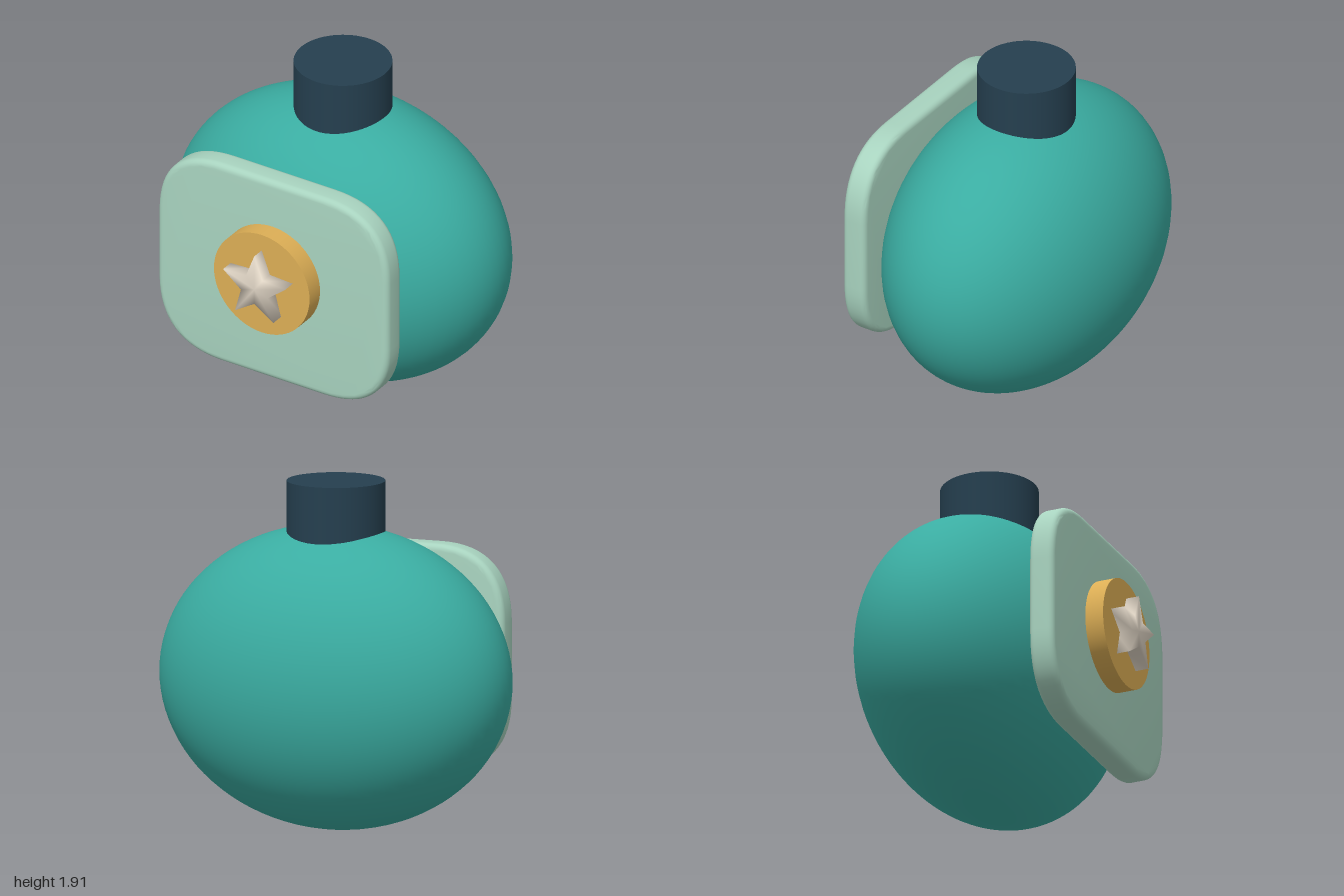
import * as THREE from 'three';
import { mergeVertices, toCreasedNormals } from 'three/addons/utils/BufferGeometryUtils.js';

function material(name, color) {
  const m = new THREE.MeshStandardMaterial({ color });
  m.name = name;
  return m;
}

// Rectangle outline with softly curved corners
function softRectangle(w, h, r) {
  const s = new THREE.Shape();
  s.moveTo(-w + r, -h);
  s.lineTo(w - r, -h);
  s.quadraticCurveTo(w, -h, w, -h + r);
  s.lineTo(w, h - r);
  s.quadraticCurveTo(w, h, w - r, h);
  s.lineTo(-w + r, h);
  s.quadraticCurveTo(-w, h, -w, h - r);
  s.lineTo(-w, -h + r);
  s.quadraticCurveTo(-w, -h, -w + r, -h);
  return s;
}

// Five-pointed prism with soft shading: a ten-sided cylinder with every other edge pulled in
function starGeometry(outer, inner, depth) {
  const g = new THREE.CylinderGeometry(outer, outer, depth, 10).rotateX(Math.PI / 2);
  const p = g.attributes.position;
  for (let i = 0; i < p.count; i++) {
    const step = Math.round(Math.atan2(p.getX(i), p.getY(i)) / (Math.PI / 5));
    const k = step % 2 === 0 ? 1 : inner / outer;
    p.setXY(i, p.getX(i) * k, p.getY(i) * k);
  }
  g.deleteAttribute('normal');
  g.deleteAttribute('uv');
  const soft = mergeVertices(g, 1e-4);
  soft.computeVertexNormals();
  return soft;
}

export function createModel() {
  const model = new THREE.Group();
  model.name = 'bottle';

  const teal = material('teal', 0x3aaca1);
  const navy = material('navy', 0x253f4f);
  const mint = material('mint', 0xa8d3bf);
  const gold = material('gold', 0xdcae55);
  const cream = material('cream', 0xe0d5c5);

  function add(name, geometry, mat, x, y, z) {
    const mesh = new THREE.Mesh(geometry, mat);
    mesh.name = name;
    mesh.position.set(x, y, z);
    model.add(mesh);
    return mesh;
  }

  // Flattened round body
  add('body', new THREE.SphereGeometry(1, 64, 48), teal, 0, 0.832, -0.11).scale.set(1, 0.832, 0.667);

  // Cap on top, sunk into the body
  add('cap', new THREE.CylinderGeometry(0.267, 0.267, 0.4, 64), navy, 0, 1.706, -0.11);

  // Front plate with rounded rim
  const bevel = 0.035;
  const plate = new THREE.ExtrudeGeometry(softRectangle(0.74 - bevel, 0.622 - bevel, 0.38), {
    depth: 0.145 - 2 * bevel,
    bevelSize: bevel,
    bevelThickness: bevel,
    bevelSegments: 5,
    curveSegments: 16,
  });
  add('frontPlate', toCreasedNormals(plate, 0.6), mint, 0, 0.872, 0.45 + bevel);

  // Round medallion and the star on it
  const disc = new THREE.CylinderGeometry(0.307, 0.307, 0.125, 64).rotateX(Math.PI / 2);
  add('medallion', disc, gold, 0, 0.908, 0.6375);
  add('star', starGeometry(0.21, 0.09, 0.095), cream, 0, 0.908, 0.7275);

  return model;
}
